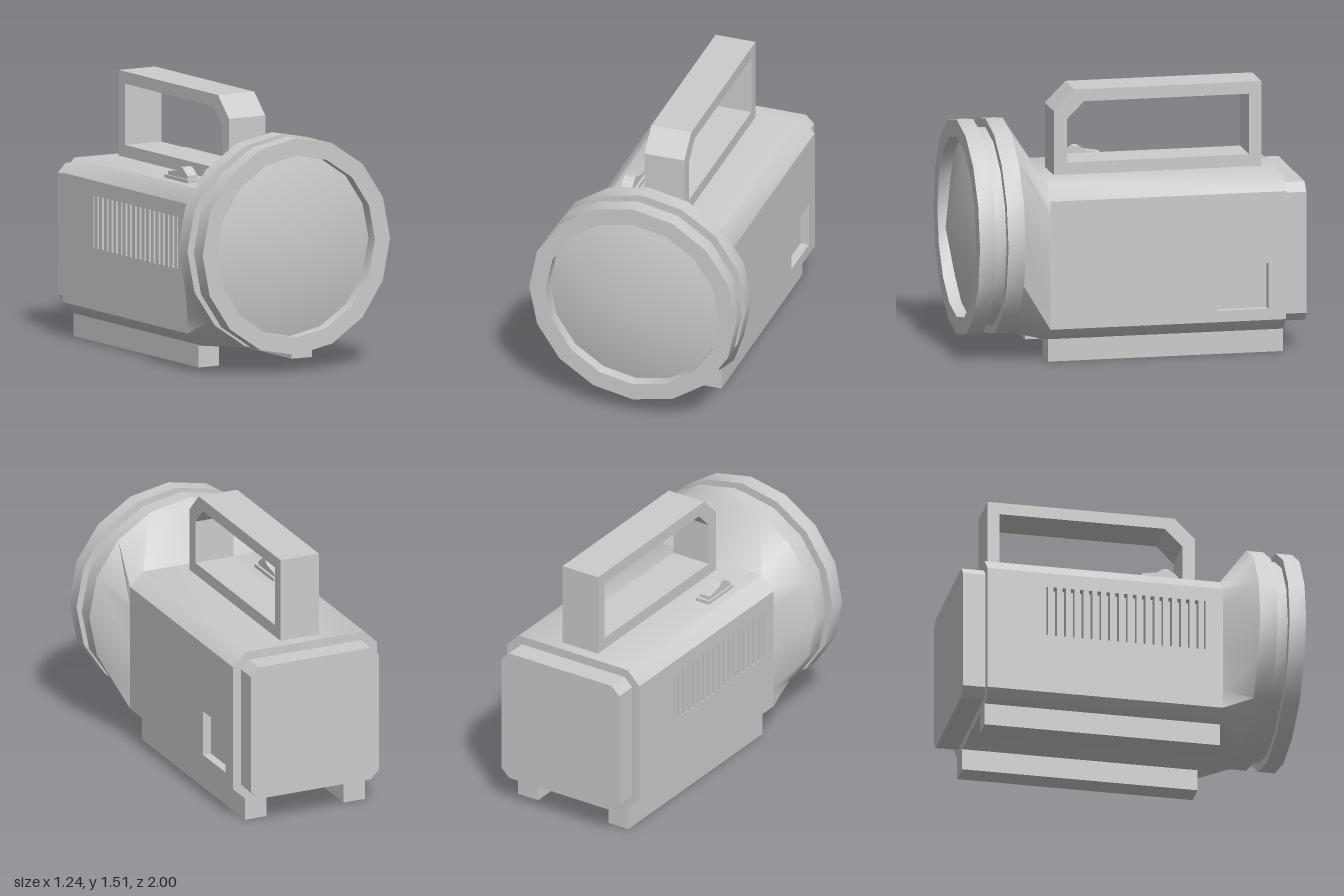
import * as THREE from 'three';
import { toCreasedNormals } from 'three/addons/utils/BufferGeometryUtils.js';

const grey = new THREE.MeshStandardMaterial({ color: 0xcccccc });
const CY = 0.72; // height of the lamp axis
const R = 0.62; // radius of the lamp head
const BACK = -0.87, FRONT = 0.49; // ends of the straight body

export function createModel() {
  const model = new THREE.Group();

  const add = (name, geometry, x = 0, y = 0, z = 0) => {
    const mesh = new THREE.Mesh(geometry, grey);
    mesh.name = name;
    mesh.position.set(x, y, z);
    model.add(mesh);
    return mesh;
  };
  const box = (name, w, h, d, x, y, z) => add(name, new THREE.BoxGeometry(w, h, d), x, y, z);
  const points = (list) => list.map(([a, b]) => new THREE.Vector2(a, b));
  const rect = (a0, a1, b0, b1) => [[a0, b0], [a1, b0], [a1, b1], [a0, b1]];

  // Outline in (z, y), extruded across x and centred on x = 0
  const sideExtrude = (outline, holes, width) => {
    const shape = new THREE.Shape(points(outline));
    shape.holes = holes.map((h) => new THREE.Path(points(h)));
    const g = new THREE.ExtrudeGeometry(shape, { depth: width, bevelEnabled: false });
    return g.rotateY(-Math.PI / 2).translate(width / 2, 0, 0);
  };

  // Rectangle with cut corners
  const cutRect = (w, y0, y1, c) => new THREE.Shape(points([
    [-w + c, y0], [w - c, y0], [w, y0 + c], [w, y1 - c],
    [w - c, y1], [-w + c, y1], [-w, y1 - c], [-w, y0 + c],
  ]));

  // Body shell: cut-corner section that flares into the round head.
  // Both rings run from the top, down the +x side and back up.
  const half = [[0, 1.02], [0.37, 1.02], [0.45, 0.94], [0.45, 0.83], [0.45, 0.57],
    [0.45, 0.31], [0.45, 0.2], [0.37, 0.125], [0, 0.125]];
  const section = [...half, ...half.slice(1, 8).reverse().map(([x, y]) => [-x, y])];
  const circle = section.map((_, i) => {
    const a = (i / 16) * Math.PI * 2;
    return [R * Math.sin(a), CY + R * Math.cos(a)];
  });
  const rings = [[section, BACK], [section, FRONT], [circle, 0.67]];
  const isSide = (i) => (i >= 2 && i <= 5) || (i >= 10 && i <= 13);
  const pos = [];
  for (let r = 0; r < 2; r++) {
    const [[A, za], [B, zb]] = [rings[r], rings[r + 1]];
    for (let i = 0; i < 16; i++) {
      if (r === 0 && isSide(i)) continue; // the flat sides are separate panels
      const j = (i + 1) % 16;
      const a = [...A[i], za], b = [...B[i], zb], c = [...B[j], zb], d = [...A[j], za];
      pos.push(...a, ...b, ...d, ...b, ...c, ...d);
    }
  }
  const shell = new THREE.BufferGeometry();
  shell.setAttribute('position', new THREE.Float32BufferAttribute(pos, 3));
  add('bodyShell', toCreasedNormals(shell, 0.8));
  add('bodyBack', new THREE.ShapeGeometry(cutRect(0.45, 0.125, 1.02, 0.08)).rotateY(Math.PI), 0, 0, BACK);

  // Side panels: a pocket on the left, a vent on the right
  const wall = 0.05;
  const panel = rect(BACK, FRONT, 0.2, 0.94);
  add('leftPanel', sideExtrude(panel, [rect(-0.77, -0.475, 0.265, 0.53)], wall), 0.45 - wall / 2);
  box('pocketFloor', 0.02, 0.3, 0.33, 0.45 - wall - 0.01, 0.4, -0.62);
  const v0 = -0.53, v1 = 0.39, vy0 = 0.555, vy1 = 0.855;
  add('rightPanel', sideExtrude(panel, [rect(v0, v1, vy0, vy1)], wall), -0.45 + wall / 2);
  box('ventFloor', 0.02, 0.34, 0.96, -0.45 + wall + 0.01, (vy0 + vy1) / 2, (v0 + v1) / 2);
  const bars = 18, pitch = (v1 - v0) / bars;
  for (let i = 0; i < bars; i++) {
    box('ventBar', wall, vy1 - vy0, pitch * 0.6, -0.45 + wall / 2, (vy0 + vy1) / 2, v0 + (i + 0.5) * pitch);
  }

  // Battery cap at the back
  add('rearCap', new THREE.ExtrudeGeometry(cutRect(0.4, 0.17, 0.97, 0.05),
    { depth: 0.13, bevelEnabled: false }), 0, 0, -1);

  // Lamp head: flange, groove and front bezel
  const lathe = (profile) => toCreasedNormals(
    new THREE.LatheGeometry(points(profile), 16).rotateX(Math.PI / 2), 0.6);
  add('lampHead', lathe([[R, 0.67], [R, 0.77], [0.57, 0.77], [0.57, 0.84],
    [R, 0.84], [R, 0.935], [0.52, 0.935], [0.52, 0.865]]), 0, CY);
  add('lens', lathe([[0.52, 0.865], [0, 1]]), 0, CY);

  // Carrying handle
  add('handle', sideExtrude(
    [[-0.8, 1.015], [0.4, 1.015], [0.4, 1.39], [0.28, 1.51], [-0.8, 1.51]],
    [[[-0.73, 1.09], [0.325, 1.09], [0.325, 1.34], [0.225, 1.44], [-0.73, 1.44]]], 0.24));

  // Sliding switch beside the handle
  box('switchBase', 0.09, 0.03, 0.25, -0.275, 1.025, 0.155);
  add('switchButton', sideExtrude([[0.05, 1.03], [0.26, 1.03], [0.26, 1.06], [0.205, 1.1],
    [0.175, 1.1], [0.14, 1.075], [0.05, 1.06]], [], 0.065), -0.277);

  // Runners underneath
  for (const s of [-1, 1]) {
    box(s > 0 ? 'leftFoot' : 'rightFoot', 0.135, 0.13, FRONT - BACK, s * 0.3075, 0.065, (FRONT + BACK) / 2);
  }
  return model;
}
